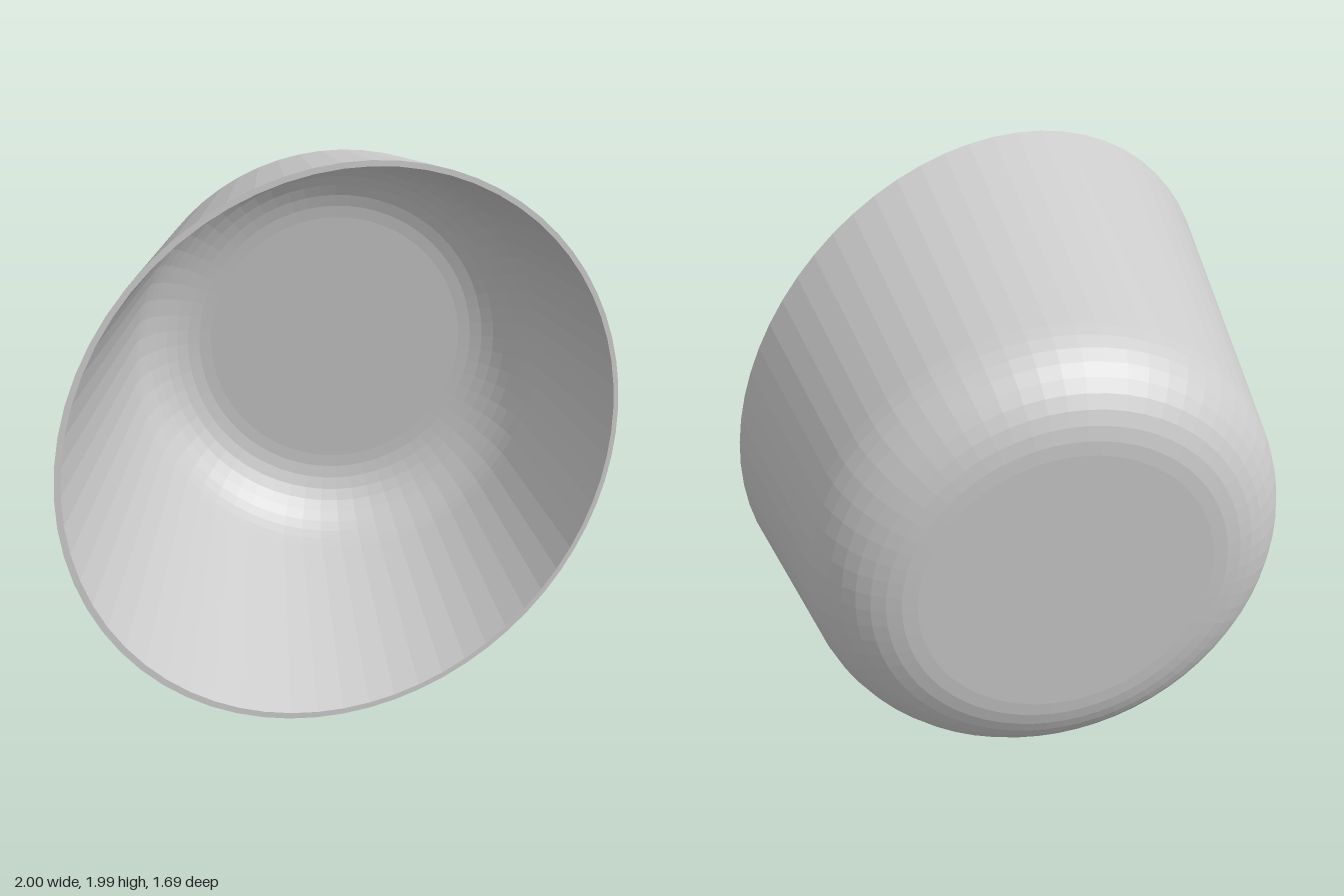
import * as THREE from 'three';

const AXIS_X = 0.055;    // the cup's axis sits slightly off centre
const FLOOR_Z = -0.845;  // back face of the closed end
const TAPER = 0.16;      // growth of radius per unit of z
const WALL = 0.02;
const RIM_Z = 0.49, RIM_SLOPE = 0.35; // slanted rim plane: z = RIM_Z - RIM_SLOPE * x
const ROUND = 0.327, FLAT_R = 0.507;

// Half profile (radius, z) from the floor centre over the rounded corner to the rim
function shellProfile(inset) {
  const radius = ROUND - inset, end = -Math.atan(TAPER), steps = 9;
  const points = [new THREE.Vector2(0, FLOOR_Z + inset)];
  for (let i = 0; i <= steps; i++) {
    const a = THREE.MathUtils.lerp(-Math.PI / 2, end, i / steps);
    points.push(new THREE.Vector2(FLAT_R + radius * Math.cos(a), FLOOR_Z + ROUND + radius * Math.sin(a)));
  }
  const last = points[points.length - 1];
  points.push(new THREE.Vector2(last.x + TAPER * (0.5 - last.y), 0.5));
  return points;
}

export function createModel() {
  const group = new THREE.Group();
  group.name = 'slantedCup';

  // Outer shell, rim and inner shell in one turned profile
  const profile = [...shellProfile(0), ...shellProfile(WALL).reverse()];
  const geometry = new THREE.LatheGeometry(profile, 64);
  geometry.rotateX(Math.PI / 2);

  // Slide the rim vertices along the cone wall onto the slanted plane
  const pos = geometry.attributes.position;
  for (let i = 0; i < pos.count; i++) {
    let x = pos.getX(i), y = pos.getY(i), z = pos.getZ(i);
    if (z > 0.4) {
      const r = Math.hypot(x, y), c = x / r, s = y / r;
      const r0 = r - TAPER * z;
      z = (RIM_Z - RIM_SLOPE * (AXIS_X + r0 * c)) / (1 + RIM_SLOPE * TAPER * c);
      x = (r0 + TAPER * z) * c;
      y = (r0 + TAPER * z) * s;
    }
    pos.setXYZ(i, x + AXIS_X, y + 1, z);
  }

  const faceted = geometry.toNonIndexed();
  faceted.computeVertexNormals();
  const cup = new THREE.Mesh(faceted, new THREE.MeshStandardMaterial({ color: 0xcccccc, flatShading: true }));
  cup.name = 'cupShell';
  group.add(cup);
  return group;
}
